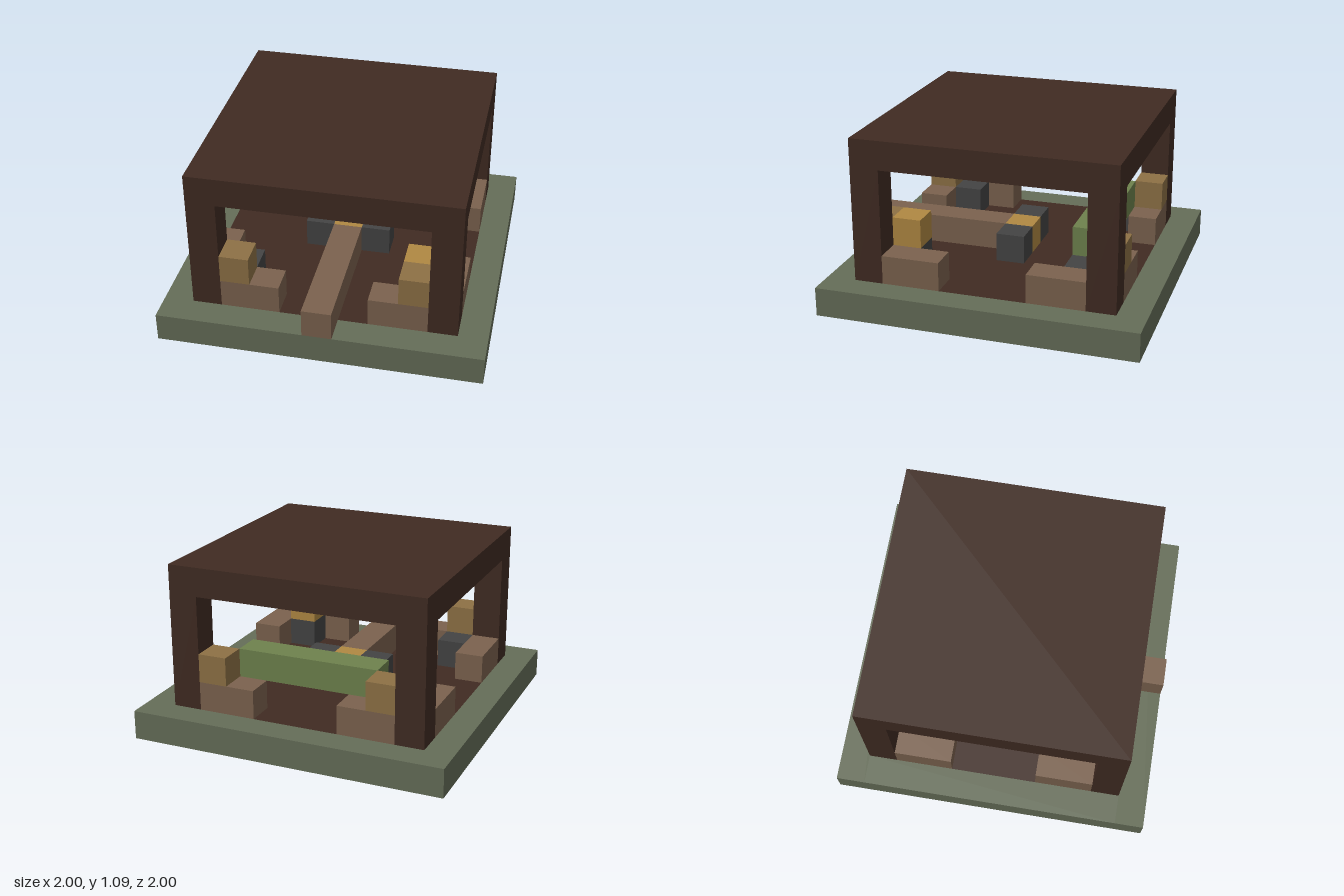
import * as THREE from 'three';

const U = 2 / 11; // one block

export function createModel() {
  const model = new THREE.Group();
  model.name = 'pavilion';
  const mat = (name, color) => {
    const m = new THREE.MeshStandardMaterial({ color });
    m.name = name;
    return m;
  };
  const moss = mat('mossStone', 0x656d58);
  const darkWood = mat('darkWood', 0x402b22);
  const plank = mat('plankWood', 0x7b624e);
  const charcoal = mat('charcoal', 0x444444);
  const amber = mat('amber', 0xb08842);
  const tan = mat('tanWood', 0x8e7145);
  const green = mat('greenCloth', 0x6e824d);

  // Box over whole blocks: inclusive x and z ranges, centred on 0; y counts up from the ground
  const block = (name, material, x0, x1, y0, y1, z0, z1) => {
    const geo = new THREE.BoxGeometry((x1 - x0 + 1) * U, (y1 - y0 + 1) * U, (z1 - z0 + 1) * U);
    const mesh = new THREE.Mesh(geo, material);
    mesh.position.set(((x0 + x1) / 2) * U, ((y0 + y1 + 1) / 2) * U, ((z0 + z1) / 2) * U);
    mesh.name = name;
    model.add(mesh);
  };

  // Stone rim around a timber floor
  block('floor', darkWood, -4, 4, 0, 0, -4, 4);
  for (const s of [-1, 1]) {
    block('baseRim', moss, -5, 5, 0, 0, 5 * s, 5 * s);
    block('baseRim', moss, 5 * s, 5 * s, 0, 0, -4, 4);
  }

  // Roof on four corner posts
  block('roof', darkWood, -4, 4, 5, 5, -4, 4);
  for (const x of [-4, 4]) for (const z of [-4, 4]) block('post', darkWood, x, x, 1, 4, z, z);

  // Low walls beside each post, open in the middle of every side
  for (const s of [-4, 4]) {
    for (const [a, b] of [[-3, -2], [2, 3]]) {
      block('lowWall', plank, a, b, 1, 1, s, s);
      block('lowWall', plank, s, s, 1, 1, a, b);
    }
    for (const x of [-3, 3]) block('wallCap', tan, x, x, 2, 2, s, s);
  }

  // Raised walkway from the front to the hearth
  block('walkway', plank, 0, 0, 1, 1, 1, 5);

  // Hearth with side stones
  block('hearth', amber, 0, 0, 1, 1, 0, 0);
  for (const x of [-1, 1]) block('hearthStone', charcoal, x, x, 1, 1, 0, 0);

  // Corner stones, one carrying a lantern
  for (const x of [-3, 3]) for (const z of [-3, 3]) block('cornerStone', charcoal, x, x, 1, 1, z, z);
  block('cornerLantern', amber, 3, 3, 2, 2, 3, 3);

  // Green bar along the back and lamp under the roof
  block('greenBar', green, -2, 2, 2, 2, -3, -3);
  block('hangingLamp', amber, 0, 0, 4, 4, 0, 0);

  return model;
}
